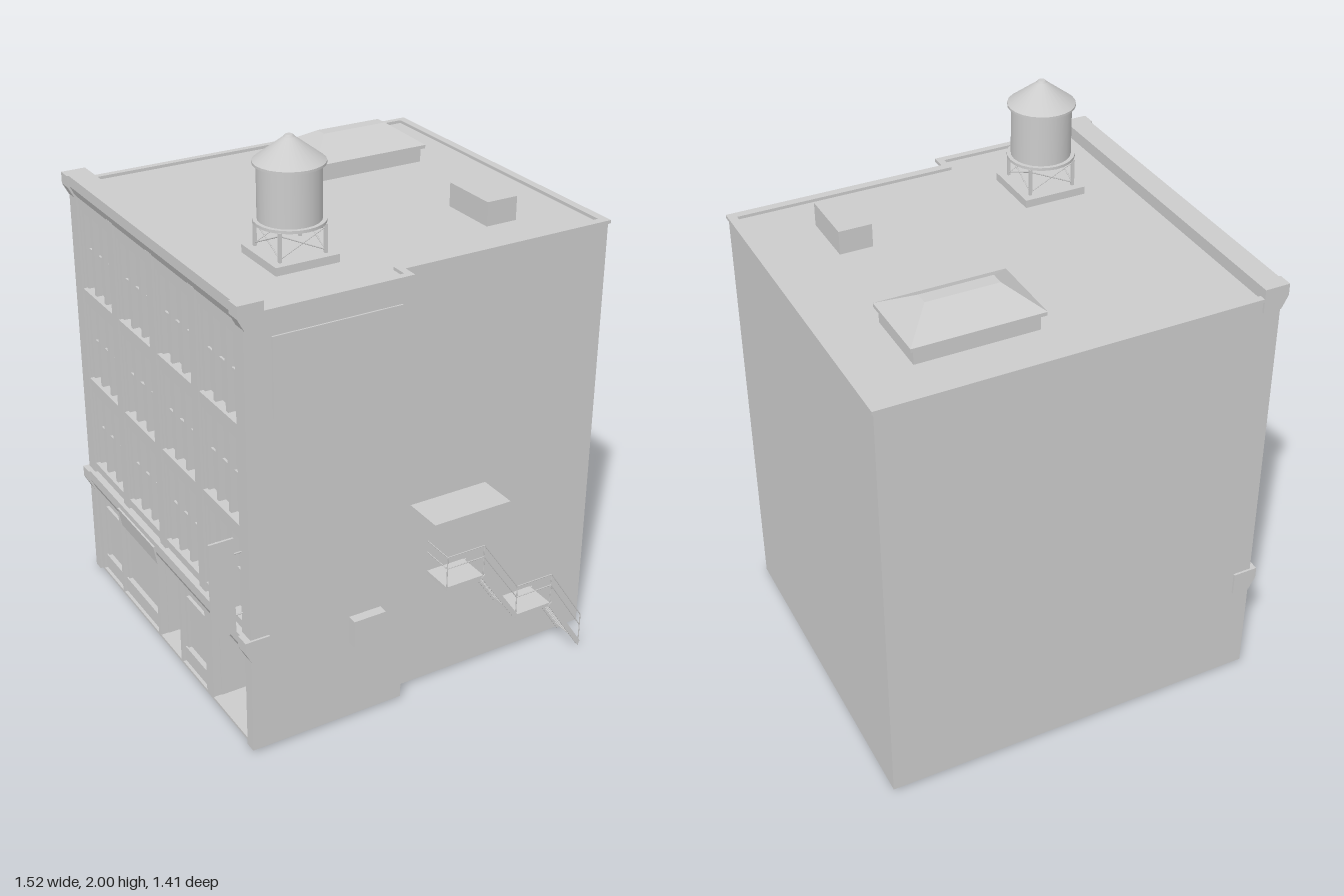
import * as THREE from 'three';

const grey = new THREE.MeshStandardMaterial({ color: 0xcccccc, side: THREE.DoubleSide });
const V = (x, y, z) => new THREE.Vector3(x, y, z);

function add(parent, name, geometry) {
  const mesh = new THREE.Mesh(geometry, grey);
  mesh.name = name;
  parent.add(mesh);
  return mesh;
}

// Box given by its extents
function box(parent, name, x0, x1, y0, y1, z0, z1) {
  const m = add(parent, name, new THREE.BoxGeometry(x1 - x0, y1 - y0, z1 - z0));
  m.position.set((x0 + x1) / 2, (y0 + y1) / 2, (z0 + z1) / 2);
  return m;
}

// Thin round bar between two points
function rod(parent, name, a, b, r = 0.002) {
  const d = b.clone().sub(a);
  const m = add(parent, name, new THREE.CylinderGeometry(r, r, d.length(), 6));
  m.position.copy(a).add(b).multiplyScalar(0.5);
  m.quaternion.setFromUnitVectors(V(0, 1, 0), d.normalize());
  return m;
}

const shapeOf = pts => new THREE.Shape(pts.map(p => new THREE.Vector2(p[0], p[1])));
const rectPath = (a, b, c, d) =>
  new THREE.Path([[a, c], [a, d], [b, d], [b, c]].map(p => new THREE.Vector2(...p)));

function group(parent, name) {
  const g = new THREE.Group();
  g.name = name;
  parent.add(g);
  return g;
}

function buildShell(parent) {
  const g = group(parent, 'shell');
  // Plain side walls, open underneath
  const pts = [[-0.635, 0.61], [-0.065, 0.61], [-0.065, 0.555], [0.75, 0.555], [0.75, -0.7], [-0.635, -0.7]];
  const pos = [];
  for (let i = 0; i < pts.length - 1; i++) {
    const [ax, az] = pts[i], [bx, bz] = pts[i + 1];
    pos.push(ax, 0.01, az, bx, 0.01, bz, bx, 1.6, bz, ax, 0.01, az, bx, 1.6, bz, ax, 1.6, az);
  }
  const walls = new THREE.BufferGeometry();
  walls.setAttribute('position', new THREE.Float32BufferAttribute(pos, 3));
  walls.computeVertexNormals();
  add(g, 'walls', walls);

  // Roof deck and its raised rim
  const roof = add(g, 'roof', new THREE.ShapeGeometry(shapeOf(pts.map(([x, z]) => [x, -z]))));
  roof.rotation.x = -Math.PI / 2;
  roof.position.y = 1.595;
  const rim = shapeOf([[-0.645, -0.615], [-0.05, -0.615], [-0.05, -0.56], [0.757, -0.56], [0.757, 0.707], [-0.645, 0.707]]);
  rim.holes.push(new THREE.Path([[-0.6, -0.59], [-0.6, 0.683], [0.727, 0.683], [0.727, -0.53], [-0.075, -0.53], [-0.075, -0.59]]
    .map(p => new THREE.Vector2(...p))));
  const rimMesh = add(g, 'roofRim', new THREE.ExtrudeGeometry(rim, { depth: 0.012, bevelEnabled: false }));
  rimMesh.rotation.x = -Math.PI / 2;
  rimMesh.position.y = 1.594;
}

function buildFacade(parent) {
  const g = group(parent, 'streetFacade');
  const bays = [-0.51, -0.2, 0.11, 0.42], floors = [0.49, 0.85, 1.21];
  const hw = 0.127, h = 0.31;
  // Shop openings: [z start, z end, depth of recess]
  const shops = [[-0.64, -0.465, 0.03], [-0.45, -0.145, 0.03], [-0.125, 0.045, 0.13], [0.06, 0.25, 0.03], [0.3, 0.56, 0.13]];

  const face = shapeOf([[-0.7, 0.01], [0.61, 0.01], [0.61, 1.6], [-0.7, 1.6]]);
  for (const z of bays) for (const y of floors) face.holes.push(rectPath(z - hw, z + hw, y, y + h));
  for (const [a, b] of shops) face.holes.push(rectPath(a, b, 0.02, 0.36));
  const wall = add(g, 'facadeWall', new THREE.ExtrudeGeometry(face, { depth: 0.035, bevelEnabled: false }));
  wall.rotation.y = -Math.PI / 2;
  wall.position.x = -0.6;

  // Piers between the bays
  for (let i = 0; i < 5; i++) {
    const z = -0.045 + (i - 2) * 0.31;
    const z0 = i === 0 ? -0.7 : z - 0.022, z1 = i === 4 ? 0.61 : z + 0.022;
    box(g, 'pier', -0.645, -0.63, 0.44, 1.57, z0, z1);
  }
  for (const z of [-0.68, 0.59]) box(g, 'cornerPier', -0.645, -0.63, 0.01, 0.44, z - 0.02, z + 0.02);

  // Triple windows with sills and sashes
  for (const z of bays) for (const y of floors) {
    const w = group(g, 'tripleWindow');
    box(w, 'glass', -0.606, -0.602, y, y + h, z - hw, z + hw);
    box(w, 'sill', -0.642, -0.605, y - 0.012, y + 0.006, z - hw, z + hw);
    box(w, 'head', -0.626, -0.605, y + h - 0.014, y + h, z - hw, z + hw);
    for (const k of [-1, 1]) {
      box(w, 'jamb', -0.626, -0.605, y, y + h, z + k * 0.121 - 0.006, z + k * 0.121 + 0.006);
      box(w, 'mullion', -0.63, -0.605, y, y + h, z + k * 0.042 - 0.008, z + k * 0.042 + 0.008);
    }
    box(w, 'meetingRail', -0.614, -0.605, y + 0.15, y + 0.16, z - hw, z + hw);
  }

  // Shop fronts and recessed entries
  for (const [a, b, d] of shops) {
    const s = group(g, 'shopBay'), x = -0.635 + d;
    box(s, 'shopPanel', x, x + 0.005, 0.02, 0.36, a, b);
    if (d > 0.1) {
      box(s, 'entryFloor', -0.635, x, 0.012, 0.02, a, b);
      box(s, 'entryCeiling', -0.605, x, 0.36, 0.365, a, b);
      for (const z of [a, b]) box(s, 'entrySide', -0.605, x, 0.02, 0.36, z - 0.003, z + 0.003);
      const c = (a + b) / 2;
      for (const k of [-0.055, 0.055]) box(s, 'doorJamb', x - 0.01, x, 0.02, 0.29, c + k - 0.005, c + k + 0.005);
      box(s, 'doorHead', x - 0.01, x, 0.28, 0.29, c - 0.055, c + 0.055);
    } else {
      box(s, 'stallRiser', x - 0.018, x, 0.02, 0.08, a, b);
      box(s, 'transom', x - 0.012, x, 0.29, 0.3, a, b);
      for (const z of [a + 0.006, b - 0.006]) box(s, 'frame', x - 0.012, x, 0.02, 0.36, z - 0.006, z + 0.006);
    }
  }

  // Two cornices: a running moulding with deeper blocks at the ends
  for (const [top, main] of [[1.64, true], [0.455, false]]) {
    const cornice = (name, pts, z0, z1) => {
      const m = add(g, name, new THREE.ExtrudeGeometry(shapeOf(pts), { depth: z1 - z0, bevelEnabled: false }));
      m.position.set(0, top, z0);
    };
    const inner = main ? -0.577 : -0.61;
    cornice(main ? 'roofCornice' : 'shopCornice',
      [[-0.66, 0], [-0.66, -0.038], [-0.642, -0.075], [inner, -0.075], [inner, 0]], -0.7, 0.61);
    for (const [z0, z1] of [[-0.708, -0.655], [0.565, 0.618]])
      cornice('corniceBlock', [[-0.667, 0], [-0.667, -0.042], [-0.643, -0.087], [-0.577, -0.087], [-0.577, 0]], z0, z1);
  }
  const board = box(g, 'tiltedSignBoard', -0.674, -0.668, 0.38, 0.457, -0.355, -0.05);
  board.rotation.z = 0.18;

  // Projecting blade sign on two brackets
  box(g, 'bladeSign', -0.76, -0.672, 0.47, 0.827, 0.557, 0.565);
  for (const y of [0.535, 0.767]) rod(g, 'signBracket', V(-0.672, y, 0.561), V(-0.63, y, 0.561), 0.003);
}

function buildWaterTank(parent) {
  const g = group(parent, 'waterTank');
  g.position.set(-0.3, 0, 0.278);
  box(g, 'tankBase', -0.114, 0.114, 1.595, 1.623, -0.114, 0.114);
  const c = [[-1, -1], [1, -1], [1, 1], [-1, 1]], s = 0.082;
  c.forEach(([x, z], i) => {
    const [nx, nz] = c[(i + 1) % 4], y0 = 1.623, y1 = 1.72;
    box(g, 'tankLeg', x * s - 0.005, x * s + 0.005, y0, y1, z * s - 0.005, z * s + 0.005);
    rod(g, 'crossBrace', V(x * s, y0 + 0.01, z * s), V(nx * s, y1 - 0.01, nz * s));
    rod(g, 'crossBrace', V(x * s, y1 - 0.01, z * s), V(nx * s, y0 + 0.01, nz * s));
  });
  const round = (name, r0, r1, y0, y1) => {
    add(g, name, new THREE.CylinderGeometry(r1, r0, y1 - y0, 24)).position.y = (y0 + y1) / 2;
  };
  round('tankPlatform', 0.118, 0.118, 1.719, 1.729);
  round('tankBarrel', 0.104, 0.104, 1.729, 1.915);
  round('tankEave', 0.117, 0.117, 1.91, 1.918);
  round('tankRoof', 0.117, 0.018, 1.918, 1.993);
  round('tankCap', 0.018, 0.012, 1.993, 2.0);
}

function buildSkylight(parent) {
  const g = group(parent, 'skylight');
  box(g, 'skylightCurb', 0.122, 0.548, 1.595, 1.65, -0.53, -0.27);
  box(g, 'skylightEave', 0.105, 0.56, 1.647, 1.66, -0.54, -0.257);
  const geo = new THREE.BoxGeometry(0.455, 0.068, 0.283);
  const p = geo.attributes.position;
  for (let i = 0; i < p.count; i++)
    if (p.getY(i) > 0) { p.setX(i, p.getX(i) * 0.56); p.setZ(i, p.getZ(i) * 0.17); }
  geo.computeVertexNormals();
  add(g, 'hippedGlass', geo).position.set(0.332, 1.694, -0.398);
}

function buildStairs(parent) {
  const g = group(parent, 'outsideStairs');
  const z0 = 0.555, z1 = 0.675, rails = [0.12, 0.075];
  // Landings with rails and posts
  for (const [x, y] of [[0.07, 0.453], [0.37, 0.236]]) {
    box(g, 'landing', x, x + 0.15, y - 0.013, y, z0, z1);
    for (const r of rails) rod(g, 'landingRail', V(x, y + r, z1), V(x + 0.15, y + r, z1));
    for (const px of [x, x + 0.15]) rod(g, 'railPost', V(px, y, z1), V(px, y + 0.12, z1));
  }
  for (const r of rails) rod(g, 'endRail', V(0.07, 0.453 + r, z0), V(0.07, 0.453 + r, z1));
  // Two flights with stringers, treads and rails
  for (const [xa, ya, xb, yb] of [[0.22, 0.453, 0.37, 0.236], [0.52, 0.236, 0.665, 0.015]]) {
    for (const z of [z0 + 0.005, z1]) {
      const bar = box(g, 'stringer', 0, Math.hypot(xb - xa, yb - ya), -0.009, 0.009, -0.002, 0.002);
      bar.position.set((xa + xb) / 2, (ya + yb) / 2 - 0.004, z);
      bar.rotation.z = Math.atan2(yb - ya, xb - xa);
    }
    for (let i = 1; i < 9; i++) {
      const x = xa + (xb - xa) * i / 9, y = ya + (yb - ya) * i / 9;
      box(g, 'tread', x - 0.006, x + 0.006, y - 0.003, y, z0, z1);
    }
    for (const r of rails) rod(g, 'stairRail', V(xa, ya + r, z1), V(xb, yb + r, z1));
  }
  rod(g, 'footPost', V(0.665, 0, z1), V(0.665, 0.135, z1));
}

export function createModel() {
  const model = new THREE.Group();
  model.name = 'building';
  buildShell(model);
  buildFacade(model);
  buildWaterTank(model);
  buildSkylight(model);
  buildStairs(model);
  // Wall and roof fittings
  box(model, 'billboard', -0.55, -0.09, 1.24, 1.515, 0.605, 0.616);
  box(model, 'wallUnit', -0.275, -0.153, 0.317, 0.417, 0.61, 0.646);
  box(model, 'roofVent', 0.385, 0.503, 1.595, 1.68, 0.16, 0.378);
  box(model, 'canopy', -0.005, 0.298, 0.735, 0.738, 0.555, 0.703);
  return model;
}
